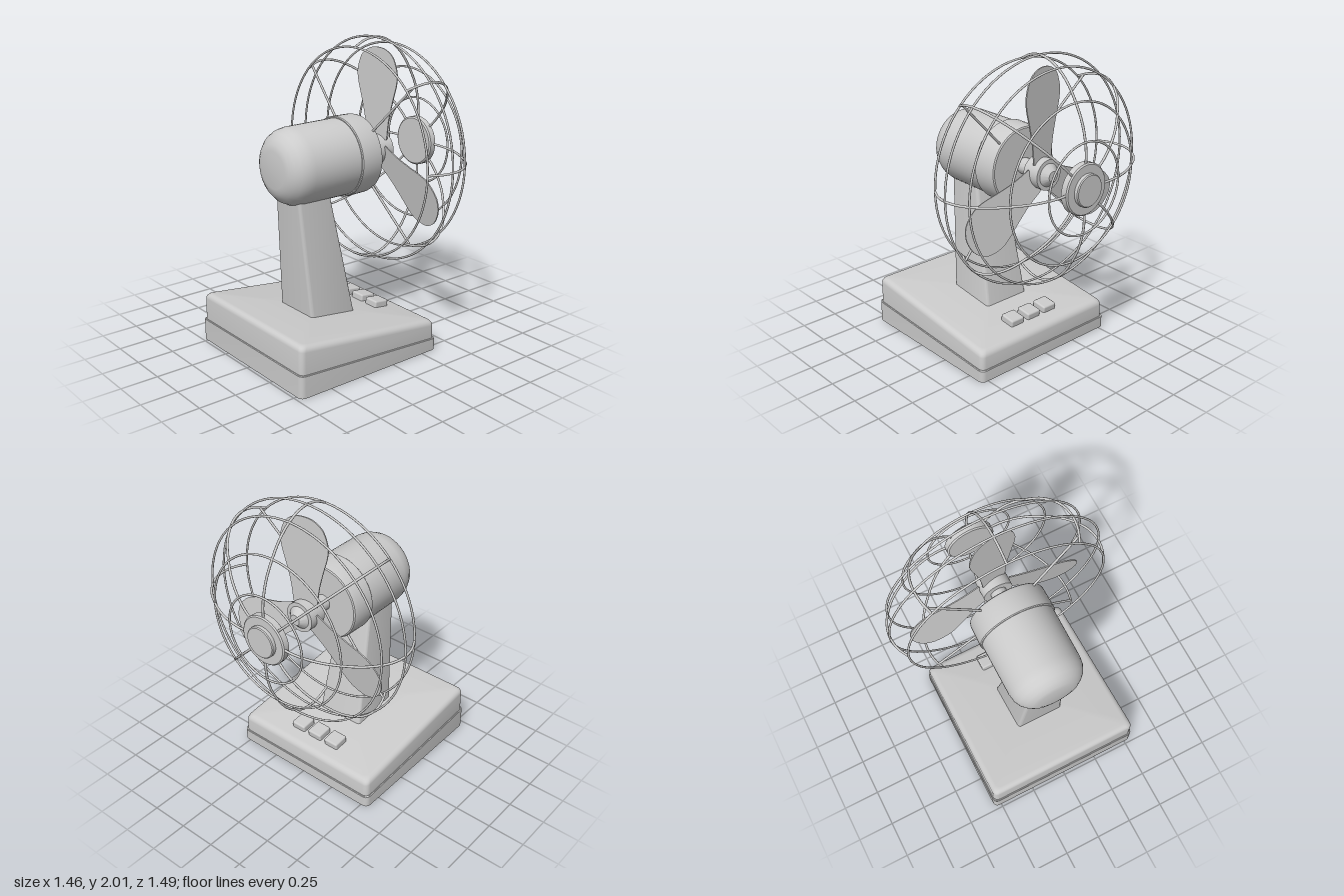
import * as THREE from 'three';
import { toCreasedNormals, mergeVertices } from 'three/addons/utils/BufferGeometryUtils.js';
import { RoundedBoxGeometry } from 'three/addons/geometries/RoundedBoxGeometry.js';

const AXIS_Y = 1.26;
const grey = new THREE.MeshStandardMaterial({ color: 0xcccccc });

function add(parent, name, geometry) {
  const mesh = new THREE.Mesh(geometry, grey);
  mesh.name = name;
  parent.add(mesh);
  return mesh;
}

// Rounded rectangle in plan, its height given by a function of x
function ring(x0, x1, halfZ, radius, heightAt, scale = 1) {
  const cx = (x0 + x1) / 2, hx = (x1 - x0) / 2, points = [];
  const corners = [[1, 1], [-1, 1], [-1, -1], [1, -1]];
  corners.forEach(([sx, sz], c) => {
    for (let i = 0; i <= 5; i++) {
      const a = (c + i / 5) * Math.PI / 2;
      const x = cx + scale * (sx * (hx - radius) + radius * Math.cos(a));
      const z = scale * (sz * (halfZ - radius) + radius * Math.sin(a));
      points.push(new THREE.Vector3(x, heightAt(x), z));
    }
  });
  return points;
}

// Skin over a sequence of rings; a ring of scale 0 closes an end
function loft(rings) {
  const data = [], tri = new THREE.Triangle();
  const face = (a, b, c) => {
    if (tri.set(a, b, c).getArea() > 1e-9) for (const p of [a, b, c]) data.push(p.x, p.y, p.z);
  };
  for (let k = 0; k < rings.length - 1; k++) {
    const low = rings[k], up = rings[k + 1], n = low.length;
    for (let i = 0; i < n; i++) {
      const j = (i + 1) % n;
      face(low[i], up[i], low[j]);
      face(low[j], up[i], up[j]);
    }
  }
  const g = new THREE.BufferGeometry();
  g.setAttribute('position', new THREE.Float32BufferAttribute(data, 3));
  return toCreasedNormals(mergeVertices(g), 0.6);
}

// Turned part around the x axis, from [x, radius] pairs
function turned(profile, segments = 48) {
  const g = new THREE.LatheGeometry(profile.map(([x, r]) => new THREE.Vector2(r, x)), segments);
  g.rotateZ(-Math.PI / 2);
  return toCreasedNormals(g, 0.6);
}

function createBase() {
  const base = new THREE.Group();
  base.name = 'base';
  const section = (inset, heightAt, scale) =>
    ring(-0.73 + inset, 0.375 - inset, 0.55 - inset, 0.035, heightAt, scale);
  const floor = () => 0;
  const seam = d => x => 0.104 - 0.063 * x + d;
  const top = d => x => 0.249 - 0.12 * x + d;

  // Hollow shell: inner ceiling, inner wall, rim, outer wall, seam, sloping top
  const rings = [
    section(0.06, top(-0.03), 0), section(0.06, top(-0.03)), section(0.035, top(-0.055)),
    section(0.03, seam(0)), section(0.02, seam(-0.004)), section(0.02, floor),
    section(0, floor), section(0, seam(-0.004)), section(0.004, seam(0)), section(0.009, seam(0)),
  ];
  for (let i = 0; i <= 5; i++) {
    const a = i / 5 * Math.PI / 2;
    rings.push(section(0.01 + 0.04 * (1 - Math.cos(a)), top(-0.04 * (1 - Math.sin(a)))));
  }
  rings.push(section(0.05, top(0), 0));
  add(base, 'baseShell', loft(rings));

  // Push buttons on the slope
  for (const z of [-0.142, 0, 0.142]) {
    const button = add(base, 'button', new RoundedBoxGeometry(0.11, 0.06, 0.108, 2, 0.012));
    button.position.set(0.205, 0.238, z);
    button.rotation.z = -0.12;
  }
  return base;
}

function createStand() {
  const section = (y, scale) => ring(-0.357 - 0.077 * (y - 0.28), -0.01 - 0.191 * (y - 0.245),
    0.17 - 0.059 * (y - 0.27), 0.022, () => y, scale);
  return loft([section(0.17, 0), section(0.17), section(1.1), section(1.1, 0)]);
}

function createBlade() {
  // Paddle outline: half width against radius
  const side = [[0.085, 0.07], [0.1, 0.2], [0.128, 0.32], [0.16, 0.44], [0.163, 0.52],
    [0.13, 0.61], [0.07, 0.657]];
  const outline = [...side, [0, 0.67], ...side.slice().reverse().map(([w, r]) => [-w, r])];
  const shape = new THREE.Shape();
  shape.moveTo(...outline[0]);
  shape.splineThru(outline.slice(1).map(p => new THREE.Vector2(...p)));
  const g = new THREE.ExtrudeGeometry(shape, { depth: 0.008, bevelEnabled: false, curveSegments: 40 });
  g.translate(0, 0, -0.004);
  return g.rotateY(Math.PI / 2 + 0.16);
}

function createGuard() {
  const guard = new THREE.Group();
  guard.name = 'guard';

  // Hoops
  const hoops = [[0.125, 0.685], [0.285, 0.738], [0.44, 0.685], [0.59, 0.51], [0.68, 0.292]];
  for (const [x, r] of hoops) {
    add(guard, 'guardHoop', new THREE.TorusGeometry(r, 0.007, 8, 80).rotateY(Math.PI / 2)).position.x = x;
  }

  // Bowed wires from the rear hoop to the front badge
  const path = [[0.125, 0.685], [0.2, 0.722], [0.285, 0.736], [0.365, 0.722], [0.44, 0.683],
    [0.52, 0.612], [0.59, 0.51], [0.645, 0.4], [0.675, 0.292], [0.685, 0.2], [0.68, 0.13]];
  const curve = new THREE.CatmullRomCurve3(path.map(([x, r]) => new THREE.Vector3(x, r, 0)));
  const wire = new THREE.TubeGeometry(curve, 40, 0.008, 8);
  for (let i = 0; i < 8; i++) add(guard, 'guardWire', wire).rotation.x = i * Math.PI / 4;

  // Straight stays holding the guard to the motor
  const stay = new THREE.TubeGeometry(new THREE.LineCurve3(
    new THREE.Vector3(0.165, 0.7, 0), new THREE.Vector3(0.125, 0.24, 0)), 1, 0.008, 8);
  for (let i = 0; i < 4; i++) add(guard, 'guardStay', stay).rotation.x = (i + 0.5) * Math.PI / 2;

  // Round front badge
  add(guard, 'frontBadge', turned([[0.642, 0], [0.642, 0.155], [0.65, 0.165], [0.69, 0.165],
    [0.698, 0.157], [0.698, 0.104], [0.72, 0.104], [0.726, 0.098], [0.726, 0]]));
  return guard;
}

export function createModel() {
  const model = new THREE.Group();
  model.name = 'deskFan';
  model.add(createBase());
  add(model, 'stand', createStand());

  const head = new THREE.Group();
  head.name = 'fanHead';
  head.position.y = AXIS_Y;
  model.add(head);

  // Motor housing and its front cover
  add(head, 'motorHousing', turned([[-0.52, 0], [-0.52, 0.12], [-0.512, 0.155], [-0.49, 0.19],
    [-0.46, 0.22], [-0.42, 0.24], [-0.37, 0.248], [0, 0.25]]));
  add(head, 'motorCover', turned([[-0.02, 0.245], [-0.02, 0.256], [-0.014, 0.261], [0.125, 0.258],
    [0.145, 0.253], [0.151, 0.245], [0.151, 0]]));

  // Shaft, hub with nose cone, and blades
  add(head, 'shaft', turned([[0.13, 0.053], [0.27, 0.053]], 32));
  add(head, 'hub', turned([[0.255, 0], [0.255, 0.1], [0.375, 0.1], [0.375, 0.075],
    [0.415, 0.035], [0.415, 0]], 40));
  const blade = createBlade();
  for (let i = 0; i < 3; i++) {
    const mesh = add(head, 'blade', blade);
    mesh.position.x = 0.315;
    mesh.rotation.x = i * Math.PI * 2 / 3;
  }

  head.add(createGuard());
  return model;
}
